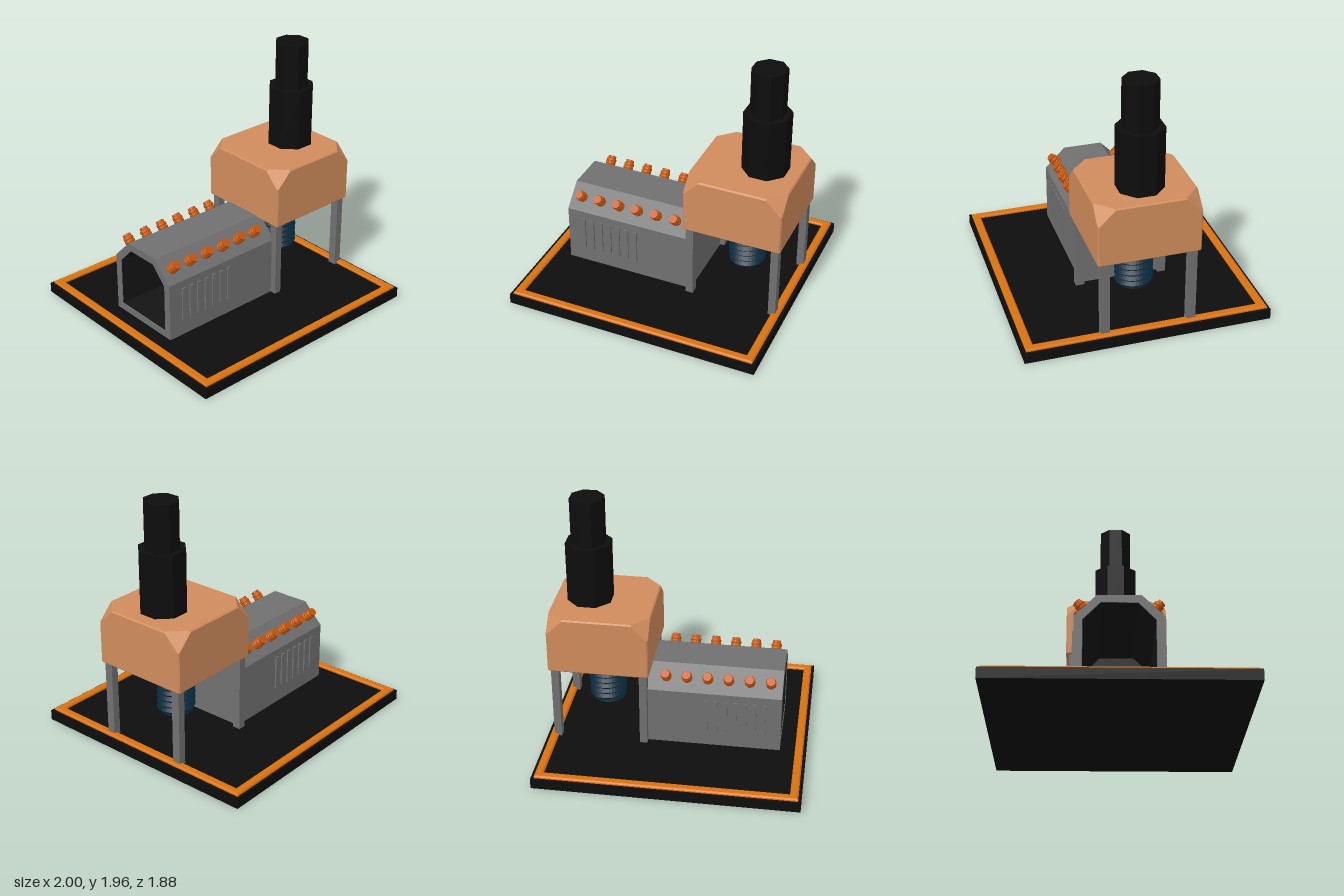
import * as THREE from 'three';
import { ConvexGeometry } from 'three/addons/geometries/ConvexGeometry.js';

const mat = (color, opts = {}) => {
  const m = new THREE.MeshStandardMaterial({ color, ...opts });
  return m;
};

function rectPath(target, w, h) {
  target.moveTo(-w, -h);
  target.lineTo(w, -h);
  target.lineTo(w, h);
  target.lineTo(-w, h);
  target.closePath();
  return target;
}

// Cross-section of the shed: upright walls, sloped shoulders, flat roof
function shedPath(target, half, bottom, eave, roofHalf, top) {
  target.moveTo(-half, bottom);
  target.lineTo(half, bottom);
  target.lineTo(half, eave);
  target.lineTo(roofHalf, top);
  target.lineTo(-roofHalf, top);
  target.lineTo(-half, eave);
  target.closePath();
  return target;
}

// Extrude a shed cross-section along x
function alongX(shape, x0, x1) {
  return new THREE.ExtrudeGeometry(shape, { depth: x1 - x0, bevelEnabled: false })
    .rotateY(Math.PI / 2).translate(x0, 0, 0);
}

// Box with bevelled edges and the four top corners cut off
function hoodGeometry(hx, hz, bottom, top, cut, b) {
  const pts = [];
  for (const sx of [-1, 1]) for (const sz of [-1, 1]) {
    const add = (dx, y, dz) => pts.push(new THREE.Vector3(sx * (hx - dx), y, sz * (hz - dz)));
    add(cut, top, b); add(b, top, cut);
    add(cut, top - b, 0); add(b, top - cut, 0);
    add(0, top - b, cut); add(0, top - cut, b);
    add(b, bottom + b, 0); add(0, bottom + b, b); add(b, bottom, b);
  }
  return new ConvexGeometry(pts);
}

// Screw thread: a ribbed cylinder sheared into a helix and trimmed to its length
function threadGeometry(y0, y1, pitch, rIn, rOut) {
  const seg = 32, turns = Math.ceil((y1 - y0) / pitch) + 2;
  const geo = new THREE.CylinderGeometry(1, 1, turns * pitch, seg, turns * 2, true);
  const p = geo.attributes.position;
  for (let i = 0; i < p.count; i++) {
    const row = Math.floor(i / (seg + 1)), u = (i % (seg + 1)) / seg;
    const raw = y1 + pitch - row * pitch / 2 + u * pitch;
    const y = THREE.MathUtils.clamp(raw, y0, y1);
    const r = Math.min(row % 2 ? rOut : rIn, rIn + (y - y0) * 0.9);
    const a = u * Math.PI * 2;
    p.setXYZ(i, Math.sin(a) * r, y, Math.cos(a) * r);
  }
  geo.computeVertexNormals();
  return geo;
}

export function createModel() {
  const model = new THREE.Group();
  const black = mat(0x0d0d0d, { flatShading: true });
  const grey = mat(0x707070, { flatShading: true });
  const orange = mat(0xd9720f, { flatShading: true });
  const copper = mat(0xd08c5c, { flatShading: true });
  const peg = mat(0xc4560c, { flatShading: true });
  const steel = mat(0x07283a, { flatShading: true });

  const add = (name, geo, material, x = 0, y = 0, z = 0, parent = model) => {
    const m = new THREE.Mesh(geo, material);
    m.name = name;
    m.position.set(x, y, z);
    parent.add(m);
    return m;
  };

  // Base plate with raised border
  add('basePlate', new THREE.BoxGeometry(2, 0.08, 1.88), black, 0, 0.04, 0);
  const border = rectPath(new THREE.Shape(), 0.968, 0.912);
  border.holes.push(rectPath(new THREE.Path(), 0.925, 0.868));
  add('baseBorder', new THREE.ExtrudeGeometry(border, {
    depth: 0.012, bevelThickness: 0.01, bevelSize: 0.01, bevelSegments: 1,
  }).rotateX(-Math.PI / 2), orange, 0, 0.078, 0);

  // Shed: hollow shell open at -x, dark lining, closed end at +x
  const shell = shedPath(new THREE.Shape(), 0.313, 0.08, 0.54, 0.155, 0.7);
  shell.holes.push(shedPath(new THREE.Path(), 0.255, 0.135, 0.515, 0.13, 0.645));
  add('shedShell', alongX(shell, -0.8, 0.2), grey);
  add('shedEndWall', alongX(shedPath(new THREE.Shape(), 0.313, 0.08, 0.54, 0.155, 0.7), 0.2, 0.24), grey);
  const lining = shedPath(new THREE.Shape(), 0.252, 0.138, 0.513, 0.129, 0.642);
  add('shedLining', alongX(lining, -0.797, 0.197), mat(0x141414, { flatShading: true, side: THREE.BackSide }));

  // Wall slats and ribbed pegs on both sides of the shed
  const slatGeo = new THREE.BoxGeometry(0.033, 0.27, 0.024);
  const pegProfile = [[0, -0.02], [0.04, -0.02], [0.04, 0.012], [0.035, 0.018], [0.04, 0.024],
    [0.04, 0.036], [0.035, 0.042], [0.04, 0.048], [0.04, 0.062], [0.032, 0.074], [0.032, 0.09], [0, 0.09]];
  const pegGeo = new THREE.LatheGeometry(pegProfile.map(([x, y]) => new THREE.Vector2(x, y)), 12);
  for (const side of [1, -1]) {
    for (let i = 0; i < 7; i++) {
      add('wallSlat', slatGeo, grey, -0.668 + i * 0.0733, 0.345, side * 0.313);
    }
    for (let i = 0; i < 6; i++) {
      add('roofPeg', pegGeo, peg, -0.71 + i * 0.159, 0.62, side * 0.233).rotation.x = side * Math.PI / 4;
    }
  }

  // Press: hood on four posts, screw below, stepped octagonal column above
  const press = new THREE.Group();
  press.name = 'press';
  press.position.x = 0.583;
  model.add(press);
  const postGeo = new THREE.BoxGeometry(0.058, 0.61, 0.065);
  for (const sx of [-1, 1]) for (const sz of [-1, 1]) {
    add('post', postGeo, grey, sx * 0.336, 0.385, sz * 0.328, press);
  }
  add('hood', hoodGeometry(0.383, 0.385, 0.68, 1.13, 0.125, 0.01), copper, 0, 0, 0, press);
  add('screwThread', threadGeometry(0.26, 0.69, 0.047, 0.12, 0.145), steel, 0, 0, 0, press);
  add('screwCore', new THREE.CylinderGeometry(0.119, 0.119, 0.43, 32), steel, 0, 0.475, 0, press);

  const octagon = (flat, h) => {
    const r = flat / 2 / Math.cos(Math.PI / 8);
    return new THREE.CylinderGeometry(r, r, h, 8).rotateY(Math.PI / 8);
  };
  add('lowerColumn', octagon(0.33, 0.485), black, 0.115, 1.3625, 0, press);
  add('upperColumn', octagon(0.245, 0.365), black, 0.115, 1.7775, 0, press);

  return model;
}
